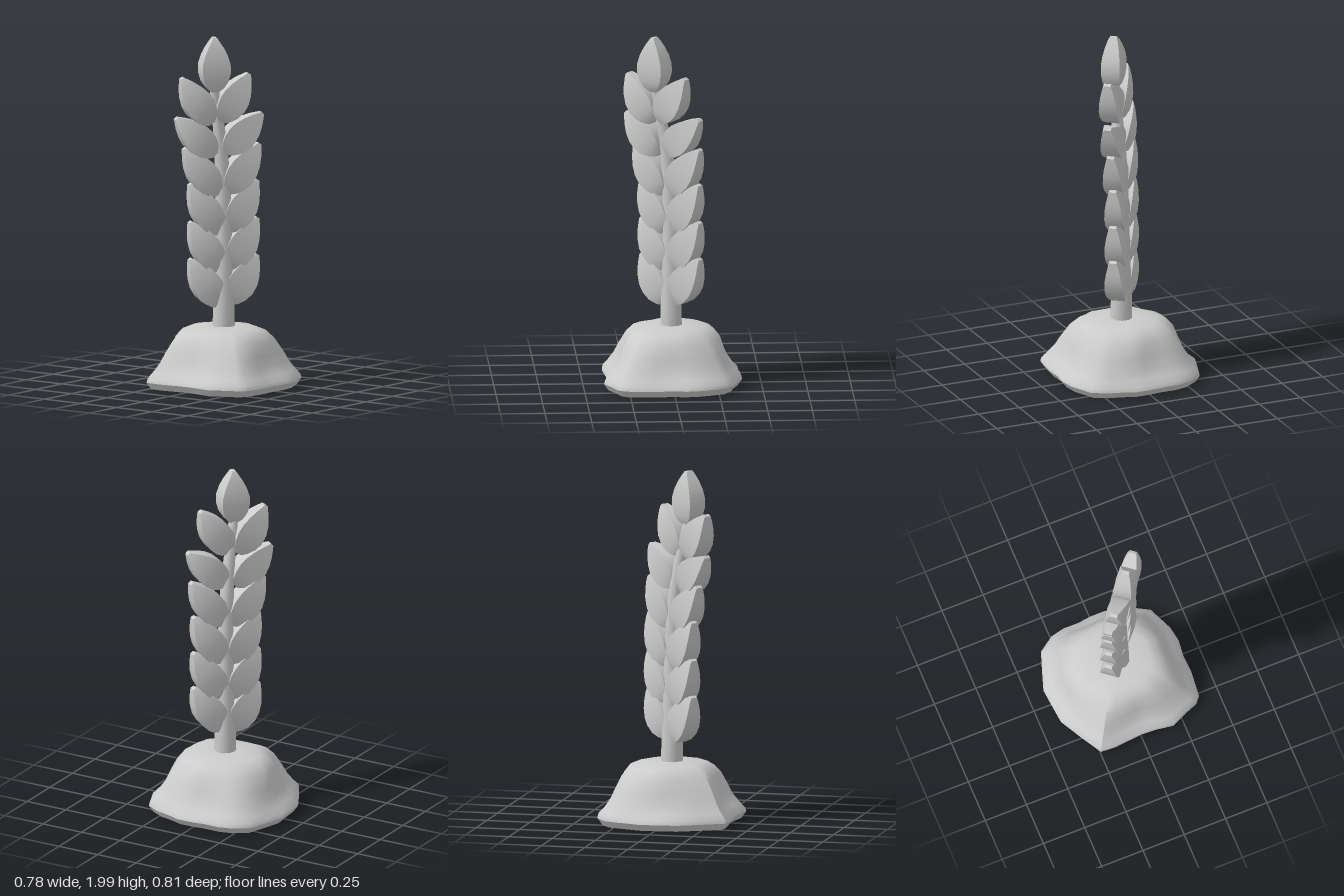
import * as THREE from 'three';
import { toCreasedNormals } from 'three/addons/utils/BufferGeometryUtils.js';

const V = (x, y, z) => new THREE.Vector3(x, y, z);
const ACROSS = V(0.785, 0, 0.62);   // direction in which the ear spreads
const NORMAL = V(-0.62, 0, 0.785);  // direction the ear faces
const material = new THREE.MeshStandardMaterial({ color: 0xcccccc });

// Skin a stack of closed rings (counterclockwise about the direction of travel) and cap both ends.
function loft(name, rings, crease) {
  const n = rings[0].length, last = rings.length - 1;
  const points = rings.flat(), index = [];
  for (let i = 0; i < last; i++) {
    for (let j = 0; j < n; j++) {
      const k = (j + 1) % n, a = i * n + j, b = i * n + k;
      index.push(a, b, b + n, a, b + n, a + n);
    }
  }
  const addCap = (row, flip) => {
    const centre = V(0, 0, 0);
    rings[row].forEach((p) => centre.addScaledVector(p, 1 / n));
    const c = points.push(centre) - 1;
    for (let j = 0; j < n; j++) {
      const a = row * n + j, b = row * n + (j + 1) % n;
      if (flip) index.push(c, b, a);
      else index.push(c, a, b);
    }
  };
  addCap(0, true);
  addCap(last, false);
  const geometry = new THREE.BufferGeometry().setFromPoints(points);
  geometry.setIndex(index);
  const mesh = new THREE.Mesh(toCreasedNormals(geometry, crease), material);
  mesh.name = name;
  return mesh;
}

// Four-sided kernel from base to tip.
// Profile rows: position along the axis, half width, half depth.
const KERNEL = [
  [0, 0.02, 0.022], [0.08, 0.046, 0.038], [0.2, 0.069, 0.049], [0.36, 0.082, 0.054], [0.52, 0.08, 0.054],
  [0.68, 0.065, 0.049], [0.82, 0.044, 0.04], [0.93, 0.023, 0.03], [1, 0.01, 0.02],
];
function kernel(name, base, tip) {
  const axis = tip.clone().sub(base).normalize();
  const wide = NORMAL.clone().cross(axis).normalize();
  const rings = KERNEL.map(([t, w, d]) => {
    const c = base.clone().lerp(tip, t);
    return [[1, 1], [-1, 1], [-1, -1], [1, -1]].map(([a, b]) =>
      c.clone().addScaledVector(wide, a * w).addScaledVector(NORMAL, b * d));
  });
  return loft(name, rings, 0.75);
}

// Rim of the mound seen from above, as x, z.
const RIM = [
  [-0.13, -0.39], [-0.03, -0.4], [0.08, -0.41], [0.2, -0.37], [0.3, -0.335], [0.36, -0.25], [0.38, -0.17],
  [0.38, -0.08], [0.39, 0], [0.39, 0.09], [0.36, 0.17], [0.34, 0.25], [0.295, 0.33], [0.16, 0.39],
  [0.07, 0.405], [-0.02, 0.395], [-0.13, 0.4], [-0.28, 0.385], [-0.32, 0.35], [-0.35, 0.27],
  [-0.39, 0.185], [-0.375, 0.09], [-0.37, 0], [-0.385, -0.17], [-0.38, -0.25], [-0.26, -0.32],
].reverse();
// Rows: scale of the rim at the sides, scale at the corners, height.
const MOUND = [
  [0.93, 0.94, 0.012], [1, 1, 0.05], [0.98, 0.99, 0.07], [0.88, 0.93, 0.1], [0.8, 0.84, 0.15],
  [0.75, 0.76, 0.21], [0.69, 0.65, 0.28], [0.6, 0.54, 0.325], [0.48, 0.42, 0.345], [0.22, 0.2, 0.352],
];
function mound() {
  const rings = MOUND.map(([side, corner, y]) => RIM.map(([x, z]) => {
    const diagonal = Math.sin(2 * Math.atan2(z, x)) ** 2;
    const s = THREE.MathUtils.lerp(side, corner, diagonal);
    return V(x * s, y, z * s);
  }));
  return loft('mound', rings, 0.7);
}

// Tapered stem that bends over slightly at the top.
function stem() {
  const rows = [
    [-0.005, 0.3, 0.063], [-0.005, 0.48, 0.06], [-0.005, 0.7, 0.052], [-0.007, 0.95, 0.046],
    [-0.015, 1.2, 0.042], [-0.035, 1.4, 0.036], [-0.07, 1.58, 0.03], [-0.1, 1.74, 0.024],
  ];
  const rings = rows.map(([x, y, r]) => Array.from({ length: 10 }, (_, i) => {
    const a = i / 10 * Math.PI * 2;
    return V(x + r * Math.sin(a), y, 0.01 + r * Math.cos(a));
  }));
  return loft('stem', rings, 0.9);
}

// Kernel pairs: base height, tip height, spread of the tip, x of the ear's centre.
const PAIRS = [
  [0.48, 0.75, 0.195, -0.005], [0.68, 0.96, 0.195, -0.005], [0.89, 1.175, 0.195, -0.007],
  [1.11, 1.38, 0.218, -0.022], [1.34, 1.555, 0.25, -0.047], [1.52, 1.785, 0.195, -0.083],
];

export function createModel() {
  const model = new THREE.Group();
  model.name = 'grainEar';
  model.add(mound(), stem());
  PAIRS.forEach(([low, high, spread, x], i) => {
    for (const side of [1, -1]) {
      const drop = side < 0 ? 0.012 : 0;
      const base = V(x, low - drop, 0.008).addScaledVector(ACROSS, side * 0.025);
      const tip = V(x, high - drop, 0.008).addScaledVector(ACROSS, side * spread);
      model.add(kernel((side > 0 ? 'leftKernel' : 'rightKernel') + (i + 1), base, tip));
    }
  });
  model.add(kernel('topKernel', V(-0.098, 1.69, 0.015), V(-0.1, 2, 0.015)));
  return model;
}
